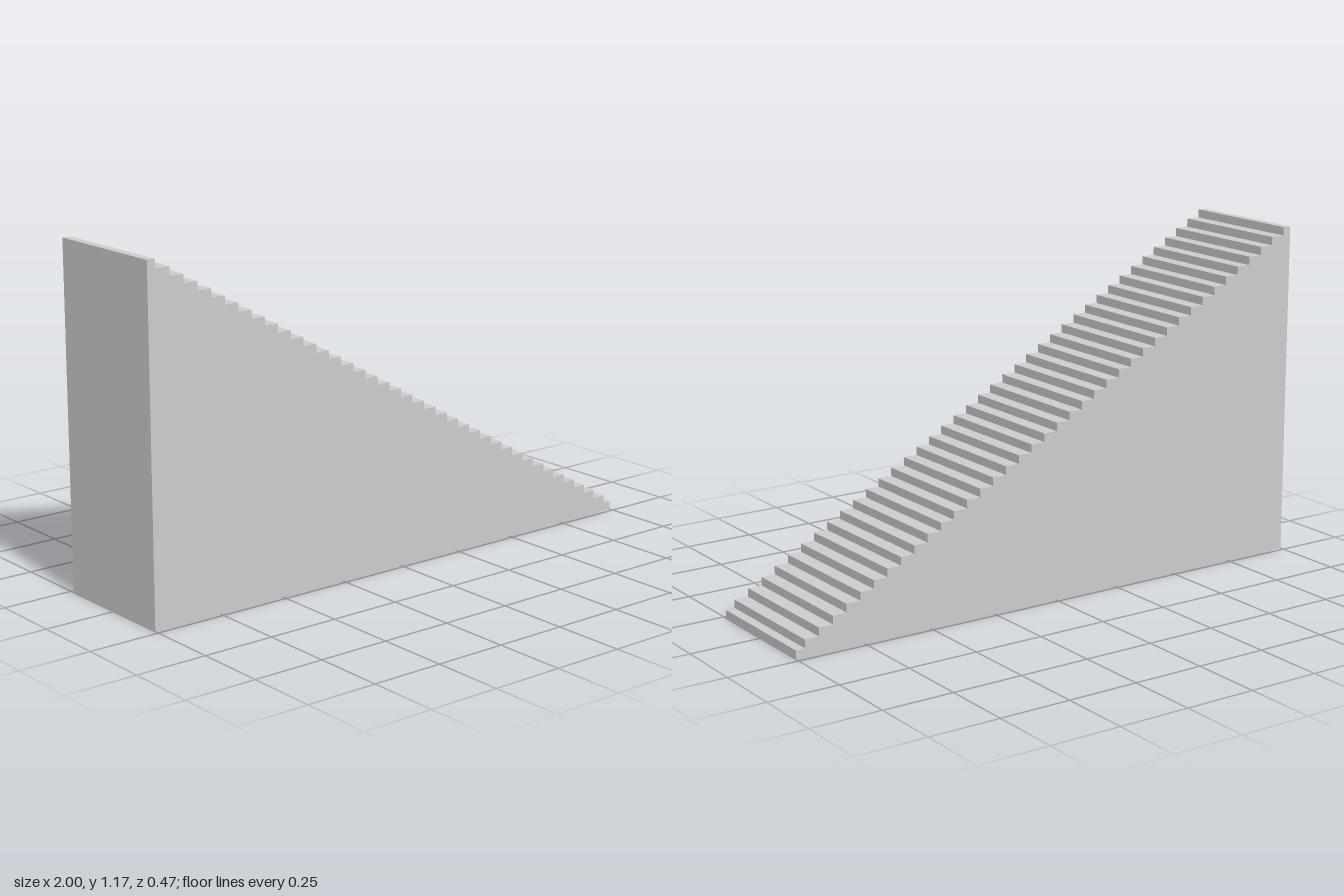
import * as THREE from 'three';

const STEPS = 40;
const HEIGHT = 1.175;
const DEPTH = 0.468;
const TOP_TREAD = 0.03;    // shortened tread at the head of the flight
const BOTTOM_TREAD = 0.033; // shortened tread at the foot

export function createModel() {
  const group = new THREE.Group();
  group.name = 'staircase';

  const rise = HEIGHT / STEPS;
  const tread = (2 - TOP_TREAD - BOTTOM_TREAD) / (STEPS - 2);

  // Stepped side profile, climbing from the foot (+x) to the head (-x)
  const profile = new THREE.Shape();
  profile.moveTo(-1, 0);
  profile.lineTo(1, 0);
  let x = 1;
  for (let i = 0; i < STEPS; i++) {
    const y = (i + 1) * rise;
    profile.lineTo(x, y);
    x = i === STEPS - 1 ? -1 : 1 - BOTTOM_TREAD - i * tread;
    profile.lineTo(x, y);
  }
  profile.closePath();

  // Solid flight of stairs, centred on z
  const geometry = new THREE.ExtrudeGeometry(profile, { depth: DEPTH, bevelEnabled: false });
  geometry.translate(0, 0, -DEPTH / 2);
  const stairs = new THREE.Mesh(
    geometry,
    new THREE.MeshStandardMaterial({ color: 0xcccccc, flatShading: true })
  );
  stairs.name = 'solidStairFlight';
  group.add(stairs);

  return group;
}
